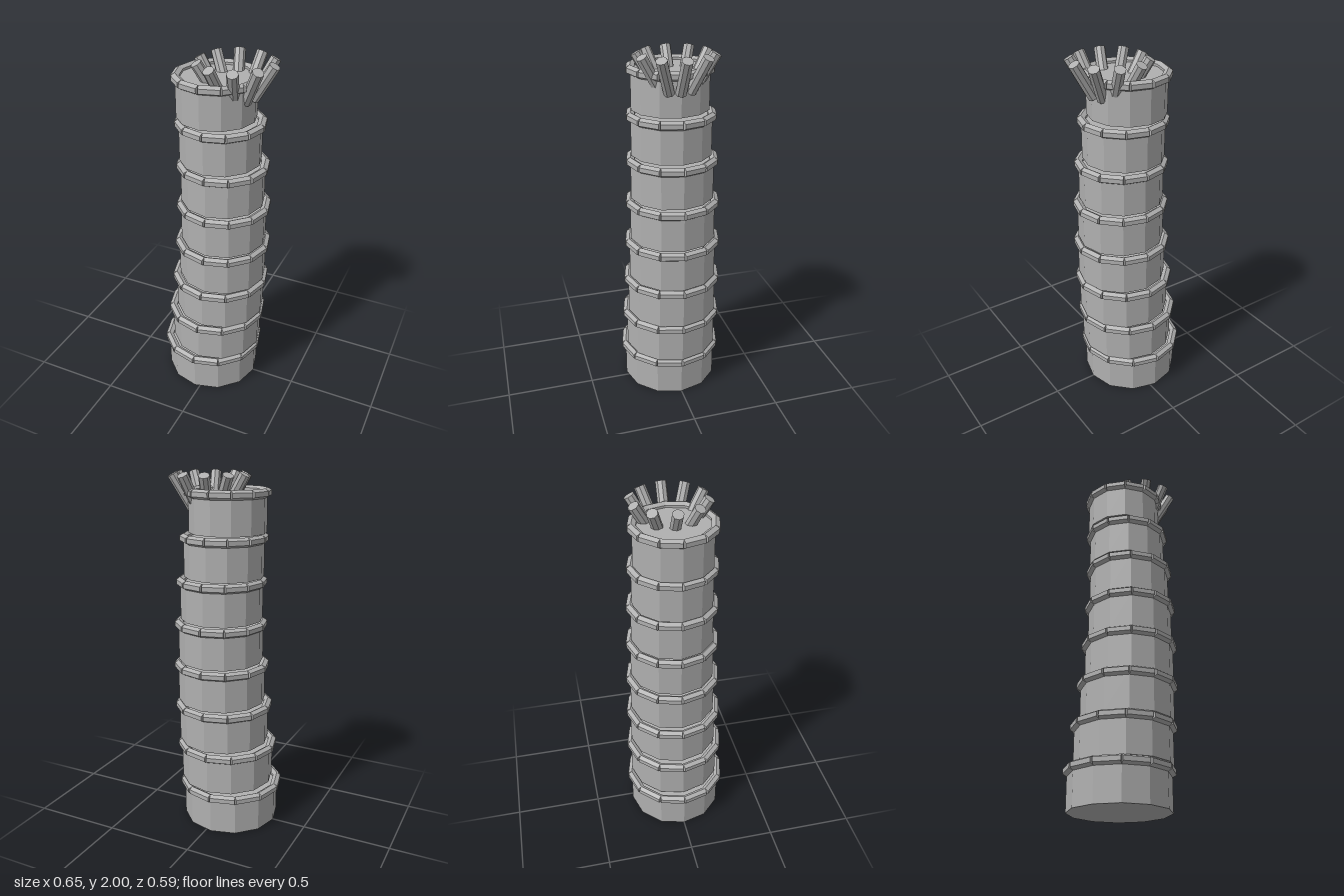
import * as THREE from 'three';

export function createModel() {
  const model = new THREE.Group();
  model.name = 'segmentedTower';
  const stone = new THREE.MeshStandardMaterial({ color: 0xb0b0b0, flatShading: true });
  stone.name = 'grey';

  const SIDES = 12, PITCH = 0.24, HEIGHT = 0.21;
  // sideways sway of each drum, from the ground up
  const sway = [-0.03, -0.005, 0.017, 0.031, 0.036, 0.031, 0.016, -0.007];

  function add(parent, name, geometry) {
    const mesh = new THREE.Mesh(geometry, stone);
    mesh.name = name;
    parent.add(mesh);
    return mesh;
  }

  // stacked drums, each with a rim of straight hexagonal bars
  sway.forEach((x, i) => {
    const radius = 0.275 - 0.009 * i;
    const segment = new THREE.Group();
    segment.name = 'segment' + (i + 1);
    segment.position.set(x, PITCH * i, 0);
    add(segment, 'drum', new THREE.CylinderGeometry(radius, radius, HEIGHT, SIDES))
      .position.y = HEIGHT / 2;

    const half = Math.PI / SIDES;
    const bar = new THREE.CylinderGeometry(0.025, 0.025, 2 * radius * Math.sin(half), 6);
    bar.rotateX(Math.PI / 2);
    bar.translate(radius * Math.cos(half), HEIGHT, 0);
    for (let k = 0; k < SIDES; k++) {
      add(segment, 'rimBar', bar).rotation.y = (2 * k + 1) * half;
    }
    model.add(segment);
  });

  // crown of spikes leaning outwards
  const crown = new THREE.Group();
  crown.name = 'crown';
  crown.position.x = 0.098;
  const tilt = 0.53, length = 0.21;
  const spike = new THREE.CylinderGeometry(0.03, 0.03, length, 8);
  spike.rotateZ(-tilt);
  spike.translate(0.148, 1.894, 0);
  for (let k = 0; k < 10; k++) {
    add(crown, 'spike', spike).rotation.y = (k * Math.PI) / 5;
  }
  model.add(crown);

  return model;
}
